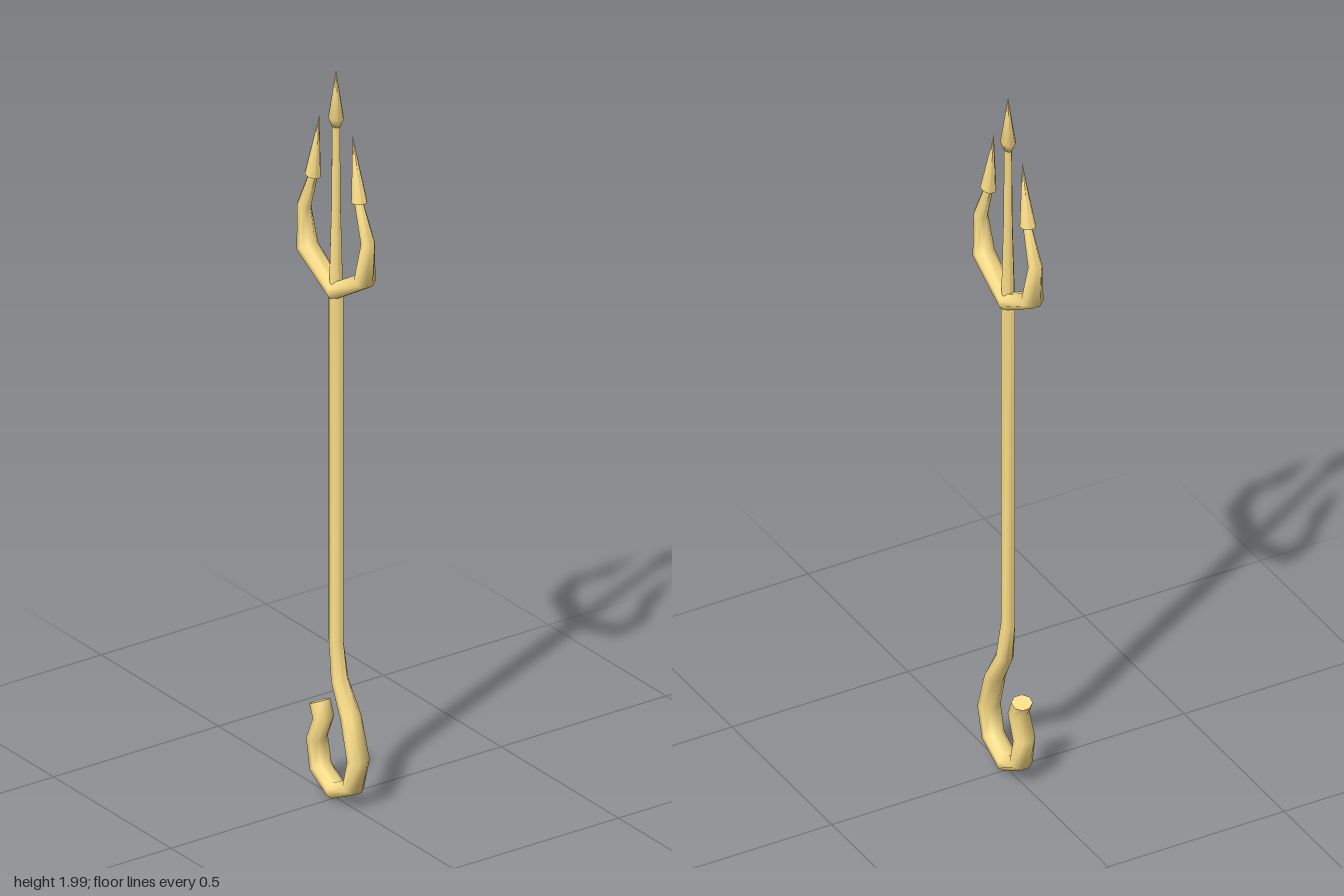
import * as THREE from 'three';
import { toCreasedNormals } from 'three/addons/utils/BufferGeometryUtils.js';

const SIDES = 8;
const FLAT = 1 / Math.cos(Math.PI / SIDES); // radii measure to the flats

// Sweep an oval eight-sided section along a path in the z-y plane.
// Each station is [z, y, radius in the plane, radius along x].
function sweep(stations) {
  const pos = [], index = [];
  const pts = stations.map(([z, y]) => new THREE.Vector3(0, y, z));
  const last = pts.length - 1;
  const dir = (i) => pts[i + 1].clone().sub(pts[i]).normalize();
  pts.forEach((p, i) => {
    const t = new THREE.Vector3();
    if (i > 0) t.add(dir(i - 1));
    if (i < last) t.add(dir(i));
    t.normalize();
    const [, , r, rx] = stations[i];
    for (let j = 0; j < SIDES; j++) {
      const a = ((j + 0.5) / SIDES) * Math.PI * 2;
      const s = Math.sin(a) * r * FLAT;
      pos.push(Math.cos(a) * rx * FLAT, p.y + t.z * s, p.z - t.y * s);
    }
  });
  for (let i = 0; i < last; i++) {
    for (let j = 0; j < SIDES; j++) {
      const k = (j + 1) % SIDES;
      const a = i * SIDES + j, b = i * SIDES + k;
      const c = a + SIDES, d = b + SIDES;
      index.push(a, b, d);
      if (stations[i + 1][2] > 0) index.push(a, d, c);
    }
  }
  // End caps
  for (let j = 1; j < SIDES - 1; j++) {
    index.push(0, j + 1, j);
    const e = last * SIDES;
    if (stations[last][2] > 0) index.push(e, e + j, e + j + 1);
  }
  const g = new THREE.BufferGeometry();
  g.setAttribute('position', new THREE.Float32BufferAttribute(pos, 3));
  g.setIndex(index);
  return toCreasedNormals(g, 1.3);
}

export function createModel() {
  const group = new THREE.Group();
  const gold = new THREE.MeshStandardMaterial({ color: 0xffe18a });
  const add = (name, stations) => {
    const mesh = new THREE.Mesh(sweep(stations), gold);
    mesh.name = name;
    group.add(mesh);
  };

  // Hooked end flowing into the straight shaft
  add('shaftAndHook', [
    [-0.07, 0.245, 0.022, 0.026],
    [-0.053, 0.207, 0.022, 0.026],
    [-0.081, 0.143, 0.02, 0.027],
    [-0.066, 0.068, 0.022, 0.028],
    [0, 0.029, 0.022, 0.028],
    [0.074, 0.066, 0.022, 0.028],
    [0.095, 0.145, 0.022, 0.028],
    [0.064, 0.25, 0.021, 0.026],
    [0.016, 0.335, 0.022, 0.02],
    [0, 0.44, 0.023, 0.015],
    [0, 1.4, 0.023, 0.015],
  ]);

  // Fork: both bowed outer prongs in one run through the shaft top
  const bow = (s) => [
    [s * 0.092, 1.685, 0.012, 0.009],
    [s * 0.136, 1.577, 0.019, 0.016],
    [s * 0.122, 1.47, 0.022, 0.027],
  ];
  add('fork', [...bow(1), [0, 1.395, 0.024, 0.024], ...bow(-1).reverse()]);

  // Centre prong and its spear head
  add('centreProng', [
    [0, 1.38, 0.022, 0.015],
    [0, 1.62, 0.014, 0.01],
    [0, 1.86, 0.012, 0.008],
  ]);
  add('centreSpearHead', [
    [0, 1.845, 0.012, 0.009],
    [0, 1.868, 0.022, 0.017],
    [0, 2, 0, 0],
  ]);

  // Angled spear heads on the outer prongs
  for (const [side, s] of [['front', 1], ['back', -1]]) {
    add(side + 'SpearHead', [
      [s * 0.099, 1.675, 0.022, 0.018],
      [s * 0.071, 1.847, 0, 0],
    ]);
  }
  return group;
}
